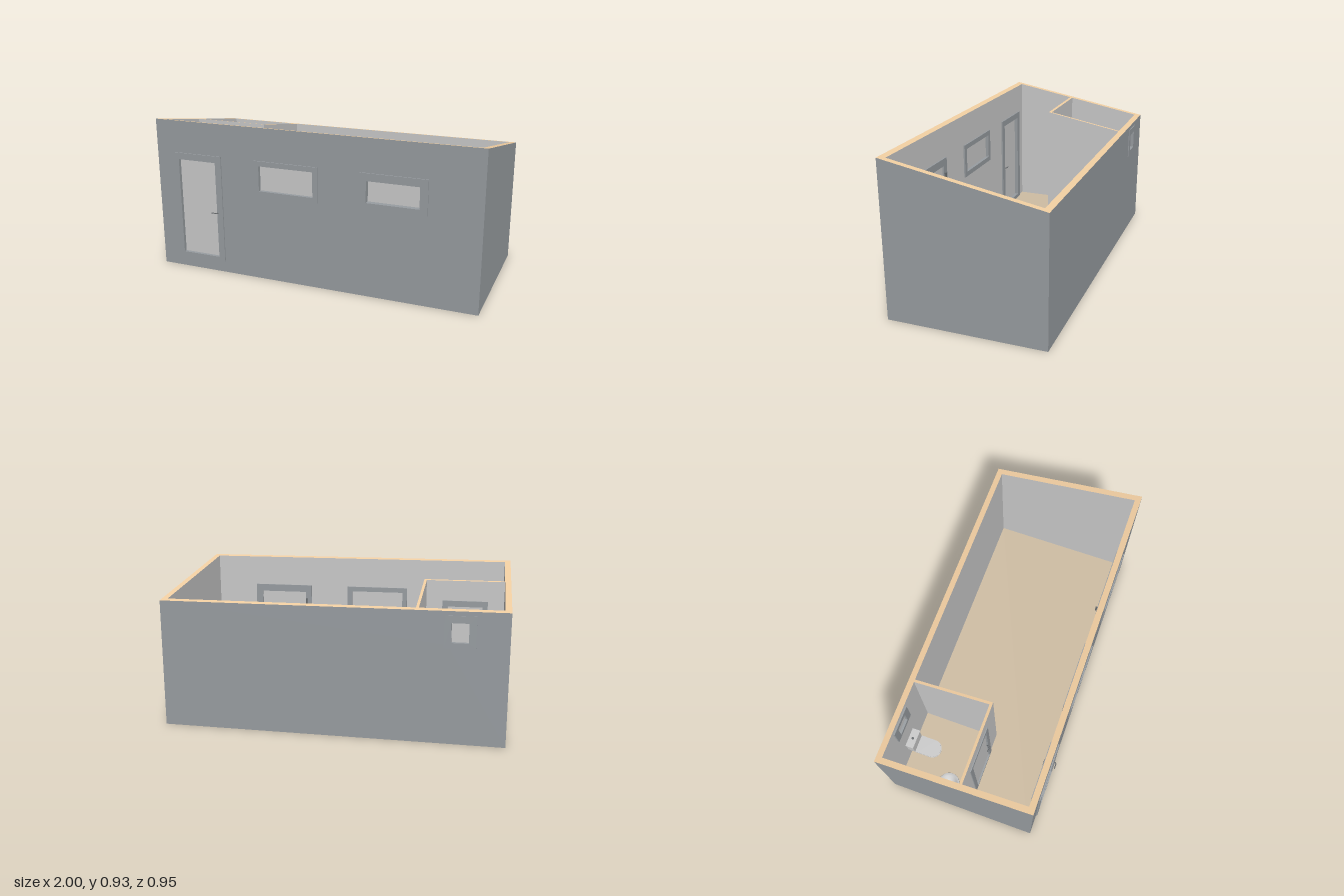
import * as THREE from 'three';

const mat = (color) => new THREE.MeshStandardMaterial({ color, side: THREE.DoubleSide });
const GREY = mat(0xcccccc), CLAD = mat(0x999ea2), TAN = mat(0xf2cfa2), FLOOR = mat(0xcfbda3), METAL = mat(0x666a6d);

// Outer faces of the shell and the sloping roof line
const FRONT = 0.455, BACK = -0.47, T = 0.035, FLOOR_Y = 0.07;
const roofY = (z) => 0.755 + 0.17 * (z - BACK) / (FRONT - BACK);

function add(parent, name, geometry, material, x = 0, y = 0, z = 0) {
  const mesh = new THREE.Mesh(geometry, material);
  mesh.name = name;
  mesh.position.set(x, y, z);
  parent.add(mesh);
  return mesh;
}

function rect(Type, [x0, x1, y0, y1]) {
  const p = new Type();
  p.moveTo(x0, y0).lineTo(x1, y0).lineTo(x1, y1).lineTo(x0, y1).closePath();
  return p;
}

// Upright panel with rectangular holes, from z0 to z1
function panel(outer, holes, z0, z1) {
  const shape = rect(THREE.Shape, outer);
  holes.forEach((h) => shape.holes.push(rect(THREE.Path, h)));
  return new THREE.ExtrudeGeometry(shape, { depth: z1 - z0, bevelEnabled: false }).translate(0, 0, z0);
}

// Cut a wall along the roof slope; clad its outside, leave cut edges bare
function addWall(parent, name, source) {
  const g = source.index ? source.toNonIndexed() : source;
  const p = g.attributes.position;
  for (let i = 0; i < p.count; i++) if (p.getY(i) > 0.74) p.setY(i, roofY(p.getZ(i)));
  g.computeVertexNormals();
  g.clearGroups();
  const n = g.attributes.normal;
  for (let i = 0; i < p.count; i += 3) {
    const mean = (get) => (p[get](i) + p[get](i + 1) + p[get](i + 2)) / 3;
    const x = mean('getX'), z = mean('getZ');
    const outside = Math.abs(x) > 0.999 || z > FRONT - 0.001 || z < BACK + 0.001;
    g.addGroup(i, 3, Math.abs(n.getY(i)) > 0.5 ? 2 : outside ? 1 : 0);
  }
  add(parent, name, g, [GREY, CLAD, TAN]);
}

// Openings: outer frame rectangle, pane rectangle, frame depth range, pane depth
const OPENINGS = {
  frontDoor: { outer: [-0.89, -0.56, 0.07, 0.73], pane: [-0.85, -0.6, 0.095, 0.69], z: [0.411, 0.462], at: 0.438 },
  middleWindow: { outer: [-0.34, 0.06, 0.52, 0.73], pane: [-0.31, 0.03, 0.55, 0.7], z: [0.411, 0.462], at: 0.436 },
  leftWindow: { outer: [0.31, 0.7, 0.52, 0.73], pane: [0.35, 0.655, 0.56, 0.685], z: [0.411, 0.462], at: 0.425 },
  washroomWindow: { outer: [-0.82, -0.645, 0.55, 0.73], pane: [-0.78, -0.685, 0.58, 0.69], z: [-0.475, -0.426], at: -0.445 },
  washroomDoor: { outer: [-0.87, -0.6, 0.07, 0.725], pane: [-0.84, -0.63, 0.09, 0.69], z: [0.022, 0.05], at: 0.036 },
};

// Wall hole lies halfway between the frame's outer and inner edges
const hole = (key) => {
  const { outer, pane } = OPENINGS[key];
  return outer.map((v, i) => (v + pane[i]) / 2);
};

function addOpening(parent, name, { outer, pane, z, at }) {
  const group = new THREE.Group();
  group.name = name;
  add(group, 'frame', panel(outer, [pane], z[0], z[1]), CLAD);
  add(group, 'pane', panel(pane, [], at - 0.004, at + 0.004), GREY);
  parent.add(group);
}

// Lever handles on both faces of a door
function addHandles(parent, x, z, reach) {
  for (const s of [1, -1]) {
    const end = z + s * reach;
    const path = new THREE.CatmullRomCurve3([
      [x, z], [x, end - s * 0.006], [x - 0.006, end], [x - 0.036, end],
    ].map(([px, pz]) => new THREE.Vector3(px, 0.38, pz)), false, 'catmullrom', 0.1);
    add(parent, 'doorHandle', new THREE.TubeGeometry(path, 16, 0.003, 8), METAL);
  }
}

// Plan outline with a square back at z = 0 and a round front
function bowlShape(w, len) {
  const s = new THREE.Shape();
  s.moveTo(-w, 0).lineTo(-w, -(len - w));
  s.absarc(0, -(len - w), w, Math.PI, Math.PI * 2, false);
  s.lineTo(w, 0);
  return s;
}

function flat(shape, depth) {
  return new THREE.ExtrudeGeometry(shape, { depth, bevelEnabled: false, curveSegments: 20 }).rotateX(-Math.PI / 2);
}

function makeToilet() {
  const g = new THREE.Group();
  g.name = 'toilet';
  add(g, 'cistern', new THREE.BoxGeometry(0.11, 0.11, 0.045), GREY, 0, 0.185, 0.024);
  add(g, 'cisternLid', new THREE.BoxGeometry(0.118, 0.01, 0.05), GREY, 0, 0.245, 0.025);
  add(g, 'flushButton', new THREE.CylinderGeometry(0.008, 0.008, 0.004, 16), METAL, 0, 0.252, 0.025);
  // Bowl narrows toward the floor
  const bowl = flat(bowlShape(0.052, 0.19), 0.125);
  const p = bowl.attributes.position;
  for (let i = 0; i < p.count; i++) {
    if (p.getY(i) < 0.01) p.setXYZ(i, p.getX(i) * 0.65, p.getY(i), p.getZ(i) * 0.75);
  }
  bowl.computeVertexNormals();
  add(g, 'bowl', bowl, GREY);
  add(g, 'seat', flat(bowlShape(0.056, 0.15), 0.006), GREY, 0, 0.126, 0.05);
  add(g, 'lid', flat(bowlShape(0.054, 0.135), 0.007), GREY, 0, 0.133, 0.062);
  return g;
}

function makeBasin() {
  const g = new THREE.Group();
  g.name = 'washbasin';
  const profile = [[0.02, 0.2], [0.05, 0.225], [0.064, 0.28], [0.062, 0.285], [0.046, 0.283], [0.036, 0.25], [0.008, 0.24], [0, 0.24]];
  add(g, 'basin', new THREE.LatheGeometry(profile.map(([r, y]) => new THREE.Vector2(r, y)), 32), GREY);
  add(g, 'pedestal', new THREE.CylinderGeometry(0.02, 0.028, 0.21, 20), GREY, 0, 0.105, 0);
  add(g, 'wallLedge', new THREE.BoxGeometry(0.03, 0.05, 0.07), GREY, -0.042, 0.258, 0);
  add(g, 'drain', new THREE.CylinderGeometry(0.007, 0.007, 0.004, 16), METAL, 0, 0.241, 0);
  for (const s of [-1, 1]) {
    add(g, 'tap', new THREE.CylinderGeometry(0.006, 0.006, 0.022, 12), METAL, -0.042, 0.294, s * 0.025);
  }
  const spout = new THREE.CatmullRomCurve3([[-0.042, 0.28], [-0.042, 0.315], [-0.02, 0.322], [0, 0.308]]
    .map(([x, y]) => new THREE.Vector3(x, y, 0)));
  add(g, 'spout', new THREE.TubeGeometry(spout, 16, 0.004, 10), METAL);
  return g;
}

export function createModel() {
  const model = new THREE.Group();
  model.name = 'cabin';

  // Outer walls
  const frontHoles = ['frontDoor', 'middleWindow', 'leftWindow'].map(hole);
  addWall(model, 'frontWall', panel([-1, 1, 0, 0.9], frontHoles, FRONT - T, FRONT));
  addWall(model, 'backWall', panel([-1, 1, 0, 0.9], [hole('washroomWindow')], BACK, BACK + T));
  const sideLength = FRONT - BACK - 2 * T;
  for (const s of [-1, 1]) {
    const side = new THREE.BoxGeometry(T, 0.9, sideLength).translate(s * (1 - T / 2), 0.45, (FRONT + BACK) / 2);
    addWall(model, s > 0 ? 'leftWall' : 'rightWall', side);
  }

  // Washroom partitions
  addWall(model, 'partitionFront', panel([-1 + T, -0.487, FLOOR_Y, 0.9], [hole('washroomDoor')], 0.028, 0.044));
  const partitionLength = 0.028 - BACK - T;
  addWall(model, 'partitionSide', new THREE.BoxGeometry(0.016, 0.9 - FLOOR_Y, partitionLength)
    .translate(-0.495, (0.9 + FLOOR_Y) / 2, 0.028 - partitionLength / 2));

  // Floor slab, raised clear of the ground
  add(model, 'floor', new THREE.BoxGeometry(2 - 2 * T, 0.04, sideLength),
    [CLAD, CLAD, FLOOR, CLAD, CLAD, CLAD], 0, 0.05, (FRONT + BACK) / 2);

  // Doors and windows
  for (const [name, spec] of Object.entries(OPENINGS)) addOpening(model, name, spec);
  addHandles(model, -0.595, 0.438, 0.036);
  addHandles(model, -0.635, 0.036, 0.025);
  add(model, 'windowHandle', new THREE.BoxGeometry(0.007, 0.045, 0.012), METAL, 0.343, 0.62, 0.405);

  // Washroom fittings
  const toilet = makeToilet();
  toilet.position.set(-0.735, FLOOR_Y, BACK + T);
  const basin = makeBasin();
  basin.position.set(-0.922, FLOOR_Y, -0.095);
  model.add(toilet, basin);
  return model;
}
